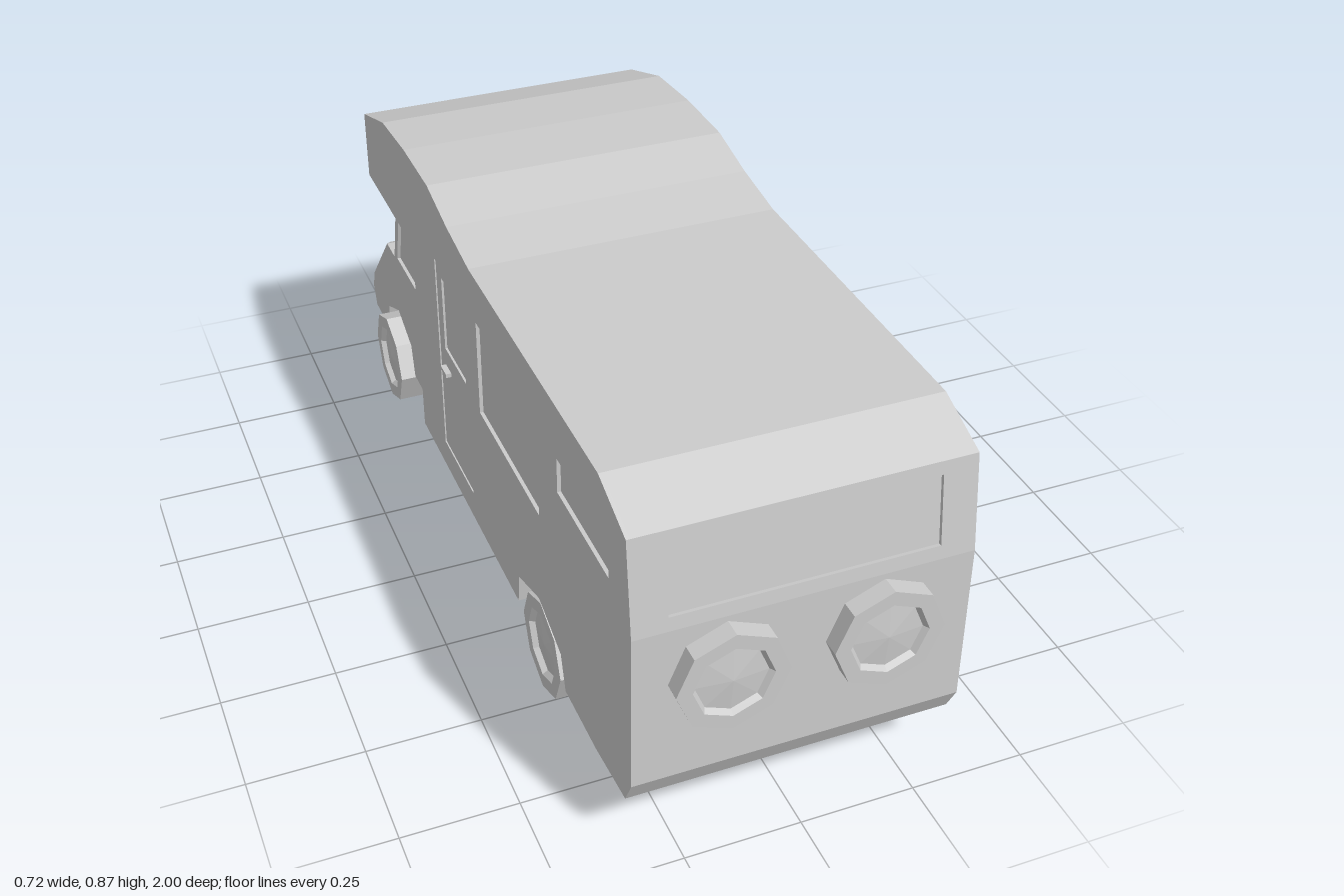
import * as THREE from 'three';
import { ConvexGeometry } from 'three/addons/geometries/ConvexGeometry.js';

const material = new THREE.MeshStandardMaterial({ color: 0xcccccc, flatShading: true, side: THREE.DoubleSide });
const SKIN = 0.008; // depth of the window recesses

const toShape = (points, holes = []) => {
  const shape = new THREE.Shape(points.map(p => new THREE.Vector2(...p)));
  for (const h of holes) shape.holes.push(new THREE.Path(h.map(p => new THREE.Vector2(...p))));
  return shape;
};
const rect = (u0, v0, u1, v1) => [[u0, v0], [u1, v0], [u1, v1], [u0, v1]];

// Extrude a (z, y) side profile across x, from x0 to x1
function slab(points, x0, x1, holes) {
  const geo = new THREE.ExtrudeGeometry(toShape(points, holes), { depth: x1 - x0, bevelEnabled: false });
  return geo.rotateY(-Math.PI / 2).translate(x1, 0, 0);
}

// Directions of a sloping end face running from a (bottom) to b (top), both (z, y)
function frame(a, b) {
  const up = new THREE.Vector3(0, b[1] - a[1], b[0] - a[0]);
  const length = up.length();
  up.normalize();
  const across = new THREE.Vector3(Math.sign(a[0]), 0, 0);
  return { up, across, out: across.clone().cross(up), length };
}
const sunk = (a, b, p) => {
  const { out } = frame(a, b);
  return [p[0] - out.z * SKIN, p[1] - out.y * SKIN];
};

// Plate with a window opening lying on a sloping end face
function endPlate(a, b, halfA, halfB, hole) {
  const { up, across, out, length } = frame(a, b);
  const outline = [[-halfA, 0], [halfA, 0], [halfB, length], [-halfB, length]];
  const geo = new THREE.ExtrudeGeometry(toShape(outline, [hole]), { depth: SKIN, bevelEnabled: false });
  const at = sunk(a, b, a);
  return geo.applyMatrix4(new THREE.Matrix4().makeBasis(across, up, out).setPosition(0, at[1], at[0]));
}

// Eight-sided wheel along +y, with a sunken faceted hub
function wheelGeometry(width) {
  const profile = [[0, 0], [0.116, 0], [0.116, width], [0.083, width], [0.075, width - 0.012], [0, width - 0.005]];
  return new THREE.LatheGeometry(profile.map(p => new THREE.Vector2(...p)), 8);
}

export function createModel() {
  const model = new THREE.Group();
  model.name = 'motorhome';
  const add = (name, geometry) => {
    const mesh = new THREE.Mesh(geometry, material);
    mesh.name = name;
    model.add(mesh);
    return mesh;
  };

  // Living quarters: solid core, side skins with openings, rear window plate
  const rearLow = [0.96, 0.56], rearHigh = [0.933, 0.77];
  const houseProfile = (rear) => [
    [0.78, 0.125], [0.935, 0.14], [0.965, 0.2], ...rear, [0.8, 0.82], [0.05, 0.82], [-0.1, 0.84],
    [-0.24, 0.87], [-0.42, 0.87], [-0.6, 0.855], [-0.78, 0.795], [-0.78, 0.63], [-0.4, 0.63], [-0.4, 0.13],
    [0.31, 0.13], [0.32, 0.205], [0.45, 0.25], [0.58, 0.205], [0.605, 0.125]];
  const rearInset = [rearLow, sunk(rearLow, rearHigh, rearLow), sunk(rearLow, rearHigh, rearHigh), rearHigh];
  add('houseBody', slab(houseProfile(rearInset), -0.34, 0.34));
  add('rearWindowFrame', endPlate(rearLow, rearHigh, 0.34, 0.34, rect(-0.275, 0.03, 0.275, 0.183)));

  const doorOutline = rect(-0.215, 0.2, 0, 0.7);
  const doorWindow = rect(-0.178, 0.485, -0.022, 0.67);
  const houseOpenings = [rect(0.58, 0.62, 0.85, 0.7), rect(0.085, 0.48, 0.467, 0.71), doorOutline];

  // Cab: cabin with windscreen and side windows
  const screenLow = [-0.74, 0.41], screenHigh = [-0.68, 0.615];
  const cabProfile = (screen) => [
    [-0.39 - 0.015, 0.125], [-0.405, 0.615], ...screen, [-0.74, 0.25], [-0.635, 0.205], [-0.615, 0.125]];
  const screenInset = [screenHigh, sunk(screenLow, screenHigh, screenHigh),
    sunk(screenLow, screenHigh, screenLow), screenLow];
  add('cabBody', slab(cabProfile(screenInset), -0.302, 0.302));
  add('windscreenFrame', endPlate(screenLow, screenHigh, 0.302, 0.302, rect(-0.275, 0.02, 0.275, 0.19)));
  const cabWindow = [[-0.43, 0.42], [-0.43, 0.59], [-0.662, 0.59], [-0.712, 0.42]];

  for (const [side, name] of [[1, 'left'], [-1, 'right']]) {
    const sheet = (part, points, x0, x1, holes) =>
      add(name + part, slab(points, Math.min(side * x0, side * x1), Math.max(side * x0, side * x1), holes));
    sheet('HouseSide', houseProfile([rearLow, rearHigh]), 0.34, 0.348, houseOpenings);
    sheet('Door', doorOutline, 0.34, 0.345, [doorWindow]);
    sheet('DoorHandle', rect(-0.18, 0.43, -0.14, 0.44), 0.344, 0.358);
    sheet('CabSide', cabProfile([screenHigh, screenLow]), 0.302, 0.31, [cabWindow]);

    // Road wheels
    for (const [z, axle] of [[0.45, 'Rear'], [-0.735, 'Front']]) {
      const wheel = add(name + axle + 'Wheel', wheelGeometry(0.12));
      wheel.rotation.z = -side * Math.PI / 2;
      wheel.position.set(side * 0.225, 0.118, z);
    }

    // Spare wheels on the rear wall
    const spare = add(name + 'SpareWheel', wheelGeometry(0.045));
    spare.rotation.x = Math.PI / 2;
    spare.position.set(side * 0.16, 0.432, 0.955);
  }

  // Nose and bonnet with its corners drawn in, plus the grille surround
  add('nose', slab([[-0.74, 0.25], [-0.74, 0.41], [-0.81, 0.41], [-0.98, 0.23], [-1, 0.18],
    [-0.98, 0.13], [-0.86, 0.125], [-0.84, 0.205]], -0.31, 0.31));
  const grilleLow = [-0.98, 0.23], grilleHigh = [-0.91, 0.355];
  const bonnet = [];
  for (const s of [-1, 1]) {
    for (const [x, [z, y]] of [[0.31, [-0.81, 0.41]], [0.31, sunk(grilleLow, grilleHigh, grilleLow)],
      [0.278, sunk(grilleLow, grilleHigh, grilleHigh)], [0.278, [-0.906, 0.357]]]) {
      bonnet.push(new THREE.Vector3(s * x, y, z));
    }
  }
  add('bonnet', new ConvexGeometry(bonnet));
  add('grilleSurround', endPlate(grilleLow, grilleHigh, 0.31, 0.278, rect(-0.23, 0.018, 0.23, 0.1)));

  // Axles
  for (const [z, name] of [[0.45, 'rearAxle'], [-0.735, 'frontAxle']]) {
    const axle = add(name, new THREE.CylinderGeometry(0.075, 0.075, 0.46, 8));
    axle.rotation.z = Math.PI / 2;
    axle.position.set(0, 0.118, z);
  }
  return model;
}
